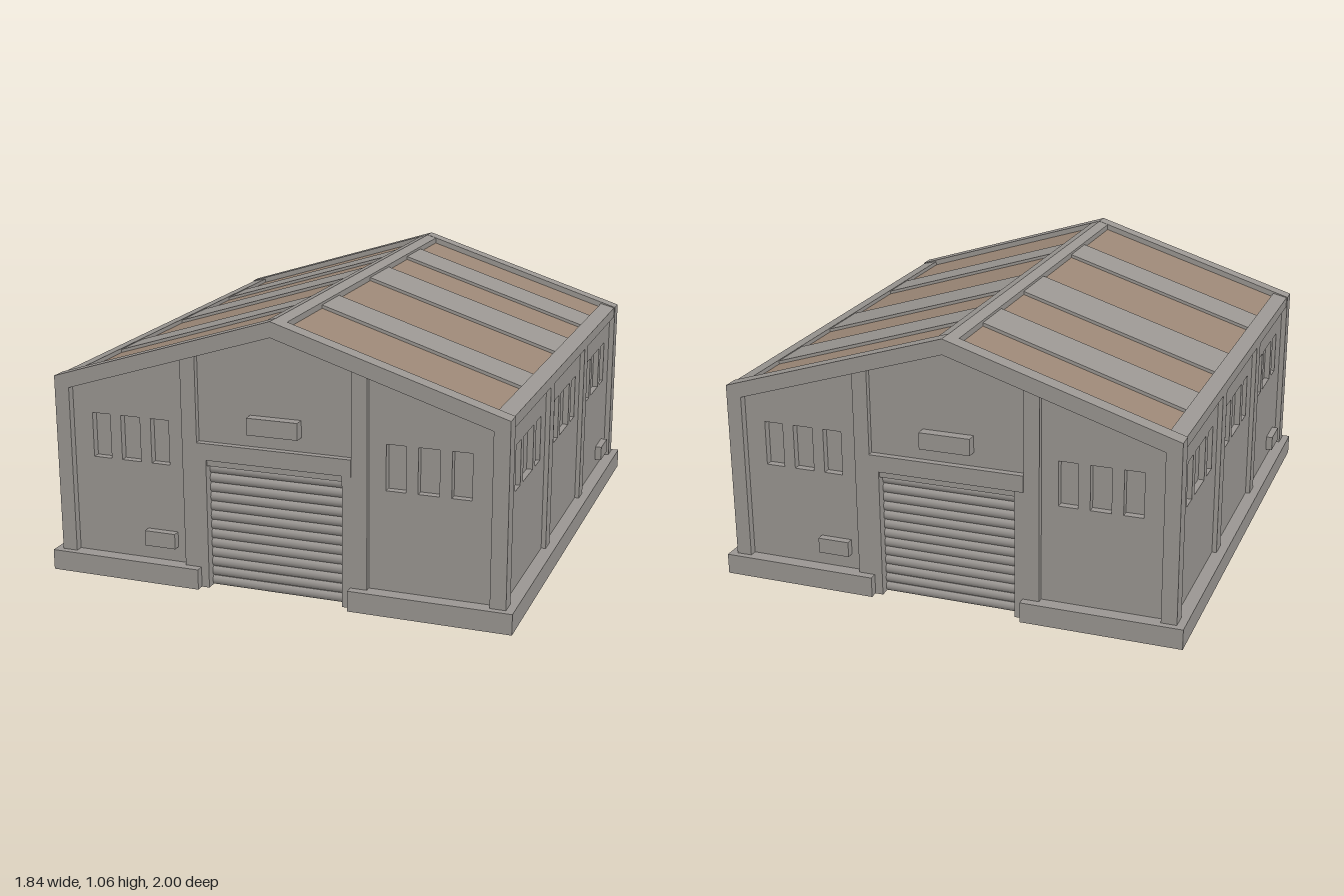
import * as THREE from 'three';

const grey = new THREE.MeshStandardMaterial({ color: 0x9a9692 });
grey.name = 'concrete grey';
const brown = new THREE.MeshStandardMaterial({ color: 0x9b8776 });
brown.name = 'roof brown';

const SLOPE = 0.315;

function add(parent, name, geometry, material = grey) {
  const mesh = new THREE.Mesh(geometry, material);
  mesh.name = name;
  parent.add(mesh);
  return mesh;
}

// Box given by its limits on each axis
function box(parent, name, [x0, x1], [y0, y1], [z0, z1], material) {
  const mesh = add(parent, name, new THREE.BoxGeometry(x1 - x0, y1 - y0, z1 - z0), material);
  mesh.position.set((x0 + x1) / 2, (y0 + y1) / 2, (z0 + z1) / 2);
  return mesh;
}

const polygon = (points) => new THREE.Shape(points.map(([x, y]) => new THREE.Vector2(x, y)));

// Outline extruded along z between two limits
function prism(shape, z0, z1) {
  const geometry = new THREE.ExtrudeGeometry(shape, { depth: z1 - z0, bevelEnabled: false });
  return geometry.translate(0, 0, z0);
}

// Window openings between pairs of horizontal limits
function cutWindows(shape, spans) {
  for (const [a, b] of spans) {
    const hole = new THREE.Path();
    hole.moveTo(a, 0.465).lineTo(a, 0.64).lineTo(b, 0.64).lineTo(b, 0.465).closePath();
    shape.holes.push(hole);
  }
}

// Inverted V that follows the roof pitch
function chevron(halfWidth, top, thick) {
  const eave = top - SLOPE * halfWidth;
  return polygon([
    [-halfWidth, eave - thick], [0, top - thick], [halfWidth, eave - thick],
    [halfWidth, eave], [0, top], [-halfWidth, eave],
  ]);
}

// One gable end, facing +z
function gableEnd() {
  const end = new THREE.Group();

  // Wall panel with the door opening and windows
  const wall = polygon([
    [-0.86, 0.06], [-0.3, 0.06], [-0.3, 0.51], [0.3, 0.51], [0.3, 0.06],
    [0.86, 0.06], [0.86, 0.75], [0, 1.02], [-0.86, 0.75],
  ]);
  for (const s of [-1, 1]) {
    cutWindows(wall, [[0.43, 0.505], [0.55, 0.63], [0.675, 0.75]].map(([a, b]) => [s * a, s * b]));
  }
  add(end, 'gableWall', prism(wall, 0.915, 0.945));

  // Portal frame: corner posts and rafters in one piece
  const frame = polygon([
    [-0.89, 0.06], [-0.83, 0.06], [-0.83, 0.738], [0, 1.0], [0.83, 0.738],
    [0.83, 0.06], [0.89, 0.06], [0.89, 0.78], [0, 1.06], [-0.89, 0.78],
  ]);
  add(end, 'portalFrame', prism(frame, 0.91, 0.975));

  // Columns and jambs either side of the door
  for (const s of [-1, 1]) {
    const column = box(end, 'gableColumn', [-0.03, 0.03], [0.06, 0.905], [0.92, 0.968]);
    column.position.x = s * 0.335;
    const jamb = box(end, 'doorJamb', [-0.018, 0.018], [0, 0.51], [0.91, 0.968]);
    jamb.position.x = s * 0.287;
  }
  box(end, 'doorHeader', [-0.305, 0.305], [0.51, 0.575], [0.91, 0.972]);
  box(end, 'doorHead', [-0.27, 0.27], [0.485, 0.51], [0.91, 0.96]);

  // Roller door slats
  const count = 13;
  const pitch = 0.485 / count;
  const slat = new THREE.CylinderGeometry(pitch / 2, pitch / 2, 0.54, 10).rotateZ(Math.PI / 2).scale(1, 1, 0.7);
  for (let i = 0; i < count; i++) {
    add(end, 'doorSlat', slat).position.set(0, pitch * (i + 0.5), 0.922);
  }

  box(end, 'doorLamp', [-0.095, 0.105], [0.63, 0.695], [0.94, 0.985]);
  box(end, 'ventBox', [-0.53, -0.405], [0.14, 0.2], [0.94, 0.975]);
  return end;
}

// One long side, facing +x
function longSide() {
  const side = new THREE.Group();

  // Wall panel with three windows per bay
  const wall = polygon([[-0.93, 0.06], [0.93, 0.06], [0.93, 0.75], [-0.93, 0.75]]);
  for (const bay of [-0.61, 0, 0.61]) {
    cutWindows(wall, [[-0.19, -0.115], [-0.075, 0.075], [0.115, 0.19]].map(([a, b]) => [bay + a, bay + b]));
  }
  add(side, 'sideWall', prism(wall, 0.845, 0.868).rotateY(Math.PI / 2));

  for (const z of [-0.31, 0.31]) {
    box(side, 'sideColumn', [0.85, 0.886], [0.06, 0.75], [z - 0.034, z + 0.034]);
  }

  // Eave beam with a sloping top
  const eave = polygon([[0.825, 0.735], [0.886, 0.735], [0.886, 0.778], [0.825, 0.793]]);
  add(side, 'eaveBeam', prism(eave, -0.92, 0.92));
  box(side, 'sideVentBox', [0.86, 0.895], [0.12, 0.18], [-0.83, -0.7]);
  return side;
}

export function createModel() {
  const model = new THREE.Group();
  model.name = 'warehouse';

  // Plinth, notched in front of each door
  const plinth = polygon([
    [-0.92, -1], [-0.3, -1], [-0.3, -0.925], [0.3, -0.925], [0.3, -1], [0.92, -1],
    [0.92, 1], [0.3, 1], [0.3, 0.925], [-0.3, 0.925], [-0.3, 1], [-0.92, 1],
  ]);
  add(model, 'plinth', prism(plinth, 0, 0.08).rotateX(-Math.PI / 2));

  // Inner body, seen as the window panes
  const body = polygon([[-0.845, 0.02], [0.845, 0.02], [0.845, 0.74], [0, 1.005], [-0.845, 0.74]]);
  add(model, 'innerBody', prism(body, -0.915, 0.915));

  // Ends and sides repeat under a half turn
  for (const turn of [0, Math.PI]) {
    const end = gableEnd();
    end.name = turn ? 'backEnd' : 'frontEnd';
    const side = longSide();
    side.name = turn ? 'rightSide' : 'leftSide';
    end.rotation.y = side.rotation.y = turn;
    model.add(end, side);
  }

  // Roof sheet, raised bands and ridge beam
  add(model, 'roofSheet', prism(chevron(0.83, 1.036, 0.04), -0.93, 0.93), brown);
  for (const [z0, z1] of [[-0.675, -0.48], [-0.23, 0.01], [0.375, 0.56]]) {
    add(model, 'roofBand', prism(chevron(0.832, 1.049, 0.04), z0, z1));
  }
  add(model, 'ridgeBeam', prism(chevron(0.04, 1.059, 0.06), -0.93, 0.93));

  return model;
}
